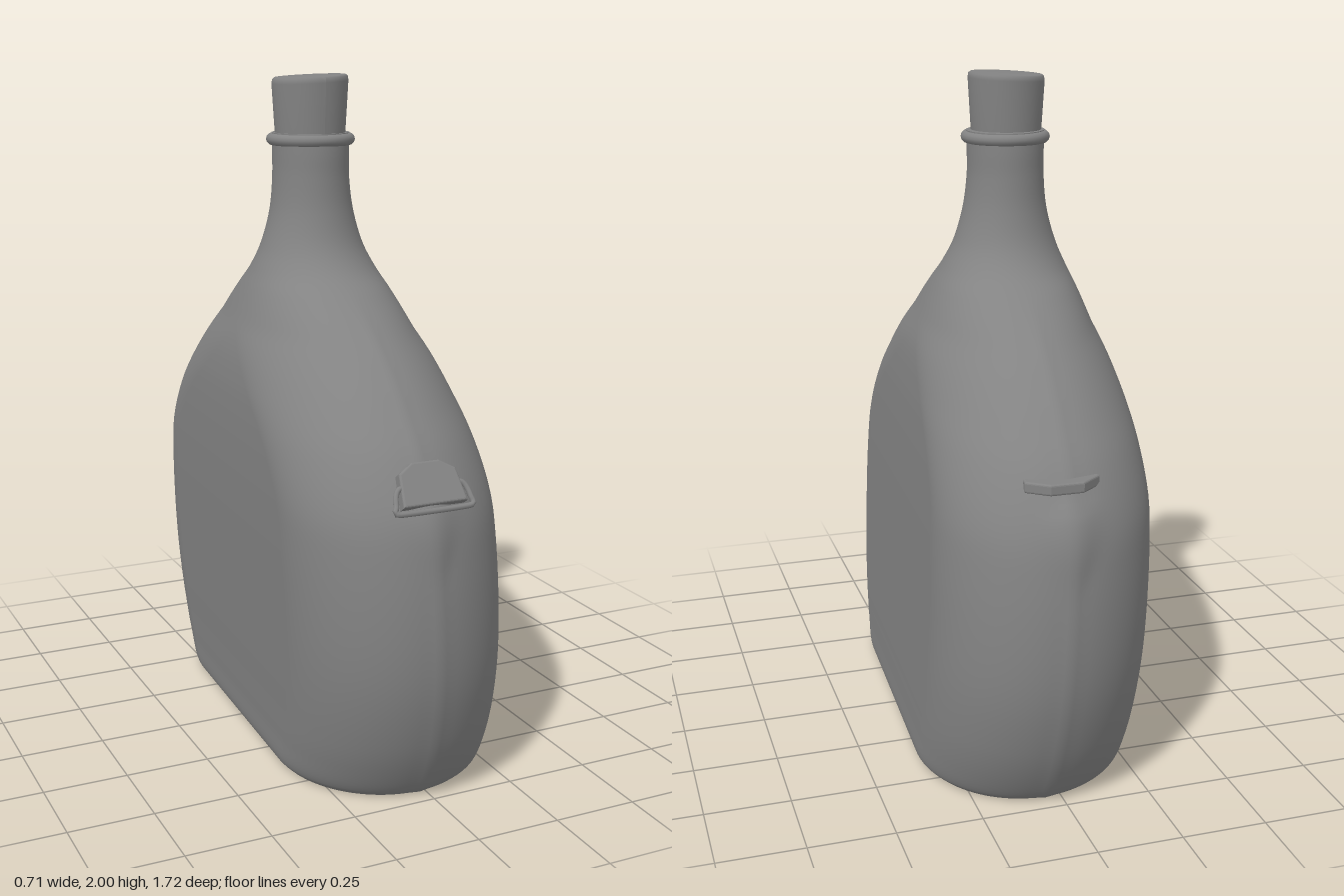
import * as THREE from 'three';

const material = new THREE.MeshStandardMaterial({ color: 0x838383, side: THREE.DoubleSide });
const YAW = 0.045; // the flat body is turned slightly about the neck
const { smoothstep, lerp } = THREE.MathUtils;

function add(group, name, geometry, x = 0, y = 0, z = 0) {
  const mesh = new THREE.Mesh(geometry, material);
  mesh.name = name;
  mesh.position.set(x, y, z);
  group.add(mesh);
  return mesh;
}

// Height, half width, half depth and sideways centre of the flask
const rows = [
  [0, 0.3, 0.69, 0.014], [0.02, 0.316, 0.712, 0.014], [0.1, 0.319, 0.76, 0.011], [0.2, 0.32, 0.802, 0.007],
  [0.35, 0.321, 0.84, 0], [0.5, 0.321, 0.853, -0.007], [0.7, 0.321, 0.843, -0.015], [0.85, 0.318, 0.815, -0.021],
  [1.0, 0.311, 0.74, -0.026], [1.1, 0.302, 0.655, -0.029], [1.2, 0.284, 0.55, -0.03], [1.3, 0.247, 0.42, -0.033],
  [1.37, 0.217, 0.315, -0.036], [1.43, 0.187, 0.222, -0.039], [1.5, 0.155, 0.168, -0.042], [1.6, 0.127, 0.137, -0.043],
  [1.7, 0.116, 0.126, -0.045], [1.77, 0.116, 0.124, -0.045], [1.83, 0.118, 0.12, -0.045],
];

// Outline at one height: two rounded ends joined by flat sides.
// A faint mould seam runs down the ends and swells into a wedge below the lugs.
function section([y, hx, hz, cx], n = 56) {
  const ez = Math.min(hx * (1.1 + 0.8 * smoothstep(y, 0.8, 1.4)), hz), straight = hz - ez;
  const wedge = smoothstep(y, 0.66, 0.88) * (1 - smoothstep(y, 0.89, 0.95));
  const height = 0.005 * (1 - smoothstep(y, 1.25, 1.42)) + 0.013 * wedge;
  const width = 0.018 + 0.045 * wedge;
  const points = [];
  for (const end of [0, 1]) {
    for (let i = 0; i <= n; i++) {
      const a = (end + i / n) * Math.PI, side = end ? -1 : 1;
      const x = hx * Math.cos(a);
      const z = side * (straight + height * Math.exp(-((x / width) ** 2))) + ez * Math.sin(a);
      points.push(new THREE.Vector3(cx + x - YAW * z, y, z));
    }
  }
  return points;
}

// Joins a stack of outlines into a smooth skin
function loft(sections) {
  const n = sections[0].length, index = [];
  for (let r = 0; r < sections.length - 1; r++) {
    for (let i = 0; i < n; i++) {
      const j = (i + 1) % n, a = r * n + i, b = r * n + j;
      index.push(a, a + n, b, b, a + n, b + n);
    }
  }
  const geometry = new THREE.BufferGeometry().setFromPoints(sections.flat());
  geometry.setIndex(index);
  geometry.computeVertexNormals();
  return geometry;
}

// Flat lid over one outline
function cap(points, up) {
  const index = [], n = points.length;
  const centre = points.reduce((s, p) => s.add(p), new THREE.Vector3()).divideScalar(n);
  for (let i = 0; i < n; i++) {
    const j = (i + 1) % n;
    index.push(n, up ? j : i, up ? i : j);
  }
  const geometry = new THREE.BufferGeometry().setFromPoints([...points, centre]);
  geometry.setIndex(index);
  geometry.computeVertexNormals();
  return geometry;
}

// Smooth curve through the rows
function smoothRows(count) {
  const shape = new THREE.CatmullRomCurve3(rows.map(r => new THREE.Vector3(r[0], r[1], r[2])), false, 'centripetal');
  const result = [];
  for (let i = 0; i <= count; i++) {
    const t = i / count, k = t * (rows.length - 1);
    const lo = Math.min(Math.floor(k), rows.length - 2);
    const p = shape.getPoint(t);
    result.push([p.x, p.y, p.z, lerp(rows[lo][3], rows[lo + 1][3], k - lo)]);
  }
  return result;
}

function plate(points, depth) {
  const geometry = new THREE.ExtrudeGeometry(new THREE.Shape(points.map(p => new THREE.Vector2(...p))), {
    depth, bevelEnabled: true, bevelSize: 0.006, bevelThickness: 0.006, bevelSegments: 3,
  });
  return geometry.translate(0, 0, -depth / 2);
}

export function createModel() {
  const model = new THREE.Group();
  model.name = 'flask';

  // Glass body and neck
  const sections = smoothRows(108).map(r => section(r));
  add(model, 'body', loft(sections));
  add(model, 'base', cap(sections[0], false));
  add(model, 'mouth', cap(sections[sections.length - 1], true));

  // Lip around the mouth
  const lip = add(model, 'lip', new THREE.TorusGeometry(0.115, 0.018, 12, 48), -0.045, 1.81, 0);
  lip.rotation.x = Math.PI / 2;

  // Tapered stopper with a softened, slightly tilted top
  const profile = [[0.103, 0], [0.106, 0.04], [0.114, 0.18], [0.112, 0.193], [0.106, 0.198], [0, 0.198]];
  const cork = new THREE.LatheGeometry(profile.map(p => new THREE.Vector2(...p)), 48);
  const pos = cork.attributes.position;
  for (let i = 0; i < pos.count; i++) {
    const y = pos.getY(i);
    if (y > 0.1) pos.setY(i, y + 0.05 * (pos.getX(i) - 0.107));
  }
  cork.computeVertexNormals();
  add(model, 'stopper', cork, -0.05, 1.802, 0.008);

  // Front strap lug: slanted plate with a wire loop around its lower half
  const front = new THREE.Group();
  front.name = 'frontLug';
  front.position.set(-0.05, 0.94, 0.778);
  front.rotation.x = -0.59;
  const plateShape = [[-0.09, -0.05], [0.09, -0.05], [0.08, 0.035], [0.04, 0.06], [-0.04, 0.06], [-0.08, 0.035]];
  add(front, 'lugPlate', plate(plateShape, 0.022));
  const loop = [[-0.11, -0.07], [0.1, -0.07], [0.112, -0.05], [0.09, 0.0], [-0.09, 0.0], [-0.115, -0.05]];
  const curve = new THREE.CatmullRomCurve3(loop.map(([x, y]) => new THREE.Vector3(x, y, 0.008)), true, 'catmullrom', 0.3);
  add(front, 'lugLoop', new THREE.TubeGeometry(curve, 60, 0.008, 8, true));
  model.add(front);

  // Back strap lug: a thin shelf overhanging the wedge below it
  const shelfShape = [[-0.09, 0.66], [0.09, 0.66], [0.1, 0.74], [0.045, 0.782], [-0.045, 0.782], [-0.1, 0.74]];
  const shelf = add(model, 'backLug', plate(shelfShape, 0.02), 0.025, 0.972, 0);
  shelf.rotation.x = -Math.PI / 2;

  return model;
}
